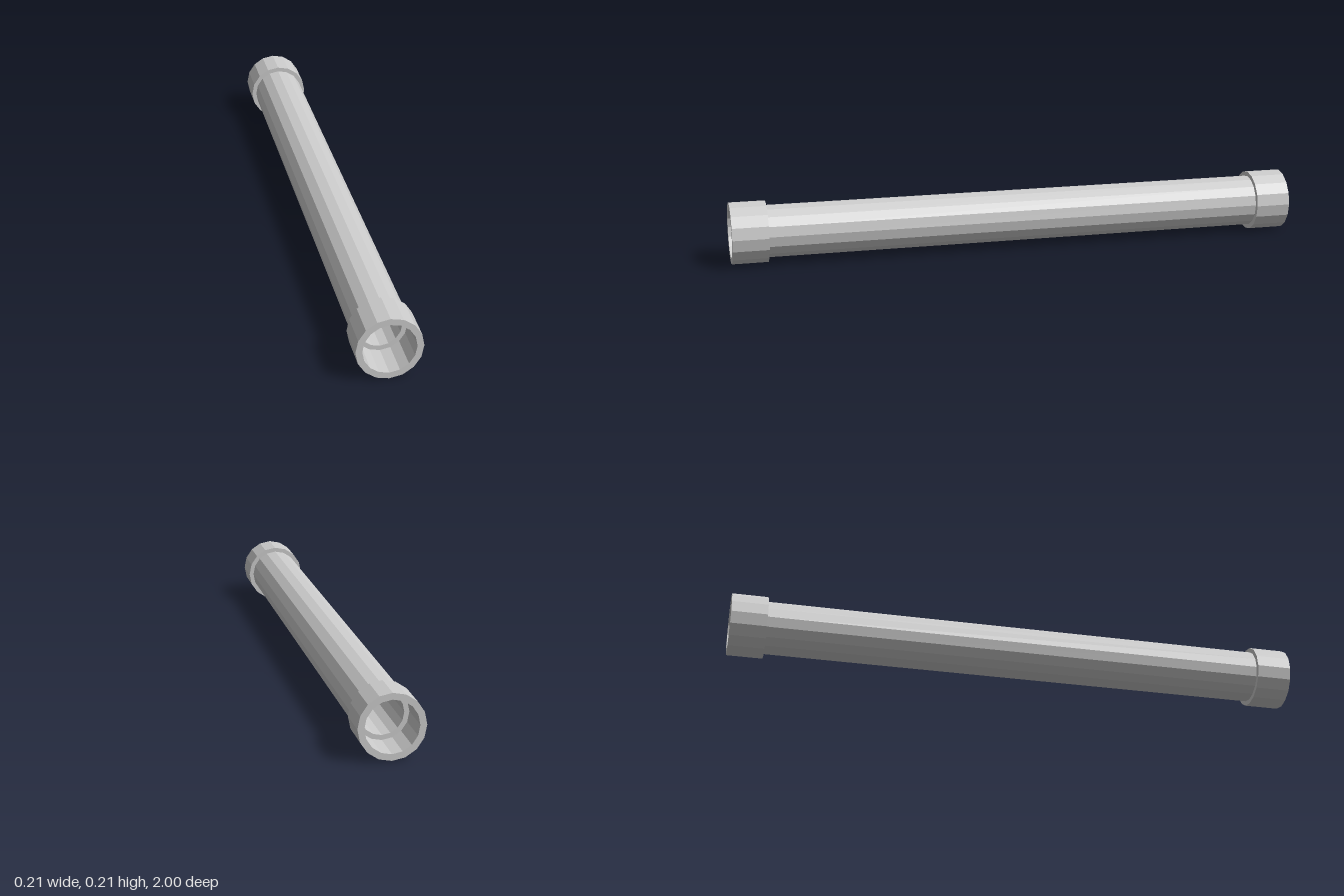
import * as THREE from 'three';

const SIDES = 16;
const OUTER = 0.106;      // collar outside radius
const SOCKET = 0.085;     // collar bore radius
const PIPE = 0.09;        // pipe outside radius
const BORE = 0.069;       // pipe inside radius
const SHOULDER = 0.877;   // where the collars meet the pipe

const material = new THREE.MeshStandardMaterial({ color: 0xcccccc, flatShading: true });

// Turns a [radius, z] profile around the z axis, with faceted sides
function turned(name, profile) {
  const points = profile.map(([r, z]) => new THREE.Vector2(r, z));
  const geometry = new THREE.LatheGeometry(points, SIDES).rotateX(Math.PI / 2).toNonIndexed();
  geometry.computeVertexNormals();
  const mesh = new THREE.Mesh(geometry, material);
  mesh.name = name;
  return mesh;
}

export function createModel() {
  const group = new THREE.Group();
  group.name = 'pipe';
  group.position.y = 0;

  // Hollow pipe; its end rings form the ledges inside the collars
  const tube = turned('tube', [
    [PIPE, -SHOULDER], [PIPE, SHOULDER], [BORE, SHOULDER], [BORE, -SHOULDER], [PIPE, -SHOULDER],
  ]);
  tube.position.y = OUTER;
  group.add(tube);

  // Wider open collar at each end
  for (const [name, turn] of [['frontCollar', 0], ['backCollar', Math.PI]]) {
    const collar = turned(name, [
      [PIPE, SHOULDER], [OUTER, SHOULDER], [OUTER, 1], [SOCKET, 1], [SOCKET, SHOULDER],
    ]);
    collar.rotation.y = turn;
    collar.position.y = OUTER;
    group.add(collar);
  }
  return group;
}
